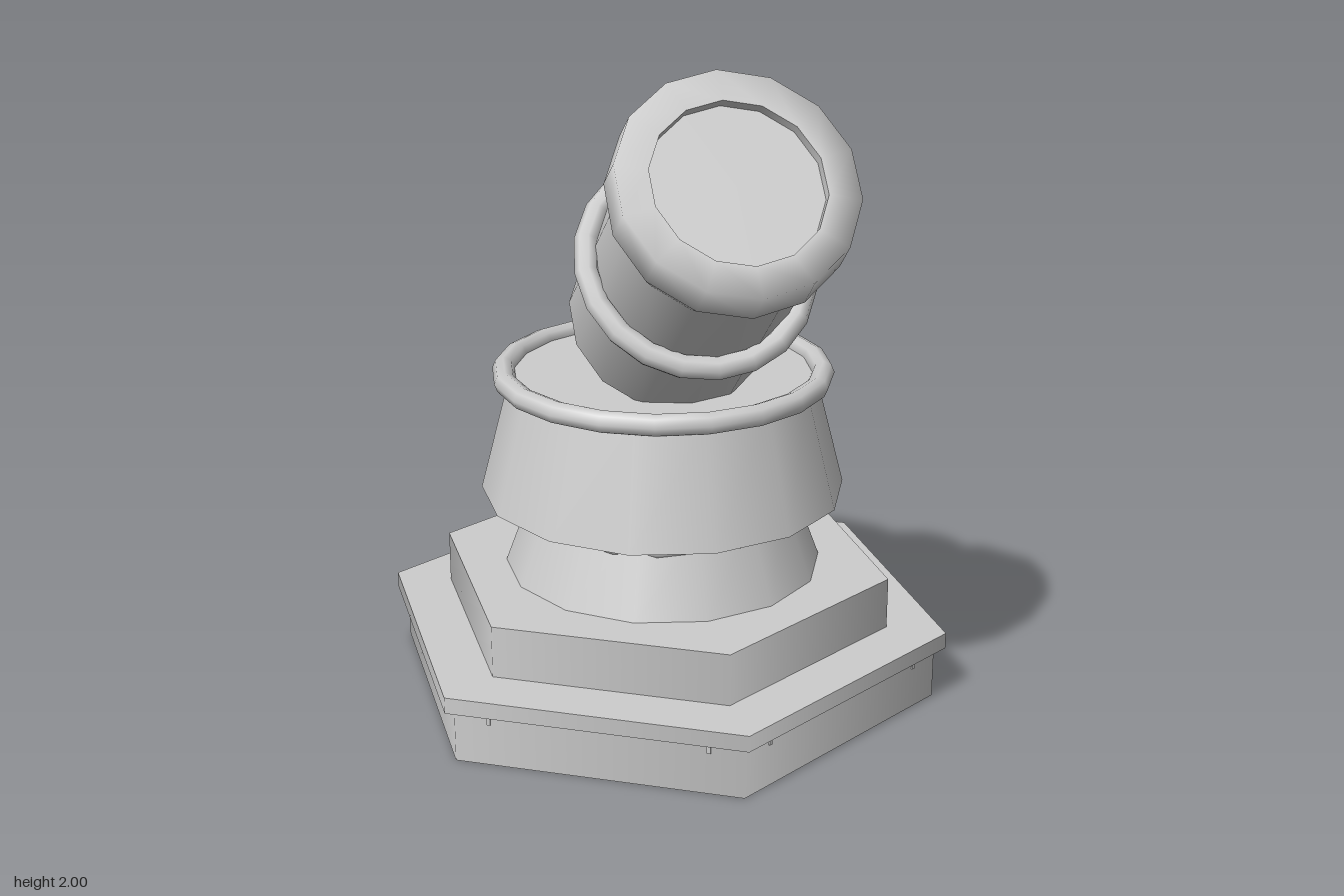
import * as THREE from 'three';

const SIDES = 14;

export function createModel() {
  const model = new THREE.Group();
  model.name = 'mortar';
  const stone = new THREE.MeshStandardMaterial({ color: 0xcccccc });
  stone.name = 'light grey';

  const add = (parent, name, geometry, x = 0, y = 0, z = 0) => {
    const mesh = new THREE.Mesh(geometry, stone);
    mesh.name = name;
    mesh.position.set(x, y, z);
    parent.add(mesh);
    return mesh;
  };
  // Prism or cone section standing between two heights
  const tier = (parent, name, y0, y1, r0, r1, sides) =>
    add(parent, name, new THREE.CylinderGeometry(r1, r0, y1 - y0, sides), 0, (y0 + y1) / 2, 0);
  // Ring lying flat around the y axis
  const ring = (parent, name, y, radius, tube) =>
    add(parent, name, new THREE.TorusGeometry(radius, tube, 8, 20).rotateX(Math.PI / 2), 0, y, 0);
  // Smooth lathe from [radius, height] pairs
  const lathe = (parent, name, points) =>
    add(parent, name, new THREE.LatheGeometry(points.map(([r, y]) => new THREE.Vector2(r, y)), SIDES));

  // Stepped six-sided base and turntable
  const stand = new THREE.Group();
  stand.name = 'stand';
  stand.position.z = -0.03;
  model.add(stand);
  tier(stand, 'baseBlock', 0, 0.165, 0.858, 0.858, 6);
  tier(stand, 'baseSlab', 0.165, 0.215, 0.893, 0.893, 6);
  tier(stand, 'upperStep', 0.215, 0.375, 0.71, 0.71, 6);
  tier(stand, 'pedestal', 0.375, 0.625, 0.488, 0.395, SIDES);
  ring(stand, 'pedestalRing', 0.567, 0.397, 0.023);
  tier(stand, 'turntable', 0.62, 0.99, 0.558, 0.462, SIDES);
  ring(stand, 'turntableRing', 0.99, 0.486, 0.034);

  // Small clips under the slab, two on each side of the base
  for (let i = 0; i < 6; i++) {
    const angle = (i + 0.5) * Math.PI / 3;
    for (const s of [-1, 1]) {
      const clip = add(stand, 'slabClip', new THREE.BoxGeometry(0.012, 0.035, 0.008));
      clip.position.set(s * 0.325, 0.147, 0.743).applyAxisAngle(new THREE.Vector3(0, 1, 0), angle);
      clip.rotation.y = angle;
    }
  }

  // Barrel raised 40 degrees, with its origin at the muzzle
  const barrel = new THREE.Group();
  barrel.name = 'barrel';
  barrel.position.set(0, 1.745, 0.7125);
  barrel.rotation.x = THREE.MathUtils.degToRad(50);
  model.add(barrel);
  lathe(barrel, 'barrelBody', [[0.245, -0.967], [0.303, -0.87], [0.287, -0.215]]);
  lathe(barrel, 'muzzleBell', [[0.287, -0.215], [0.337, -0.113], [0.332, 0], [0.24, 0]]);
  lathe(barrel, 'boreWall', [[0.24, 0], [0.24, -0.03]]);
  lathe(barrel, 'boreFloor', [[0.24, -0.03], [0, -0.03]]);
  lathe(barrel, 'breechHollow', [[0, -0.87], [0.15, -0.89], [0.245, -0.967]]);
  ring(barrel, 'barrelBand', -0.506, 0.317, 0.035);

  return model;
}
